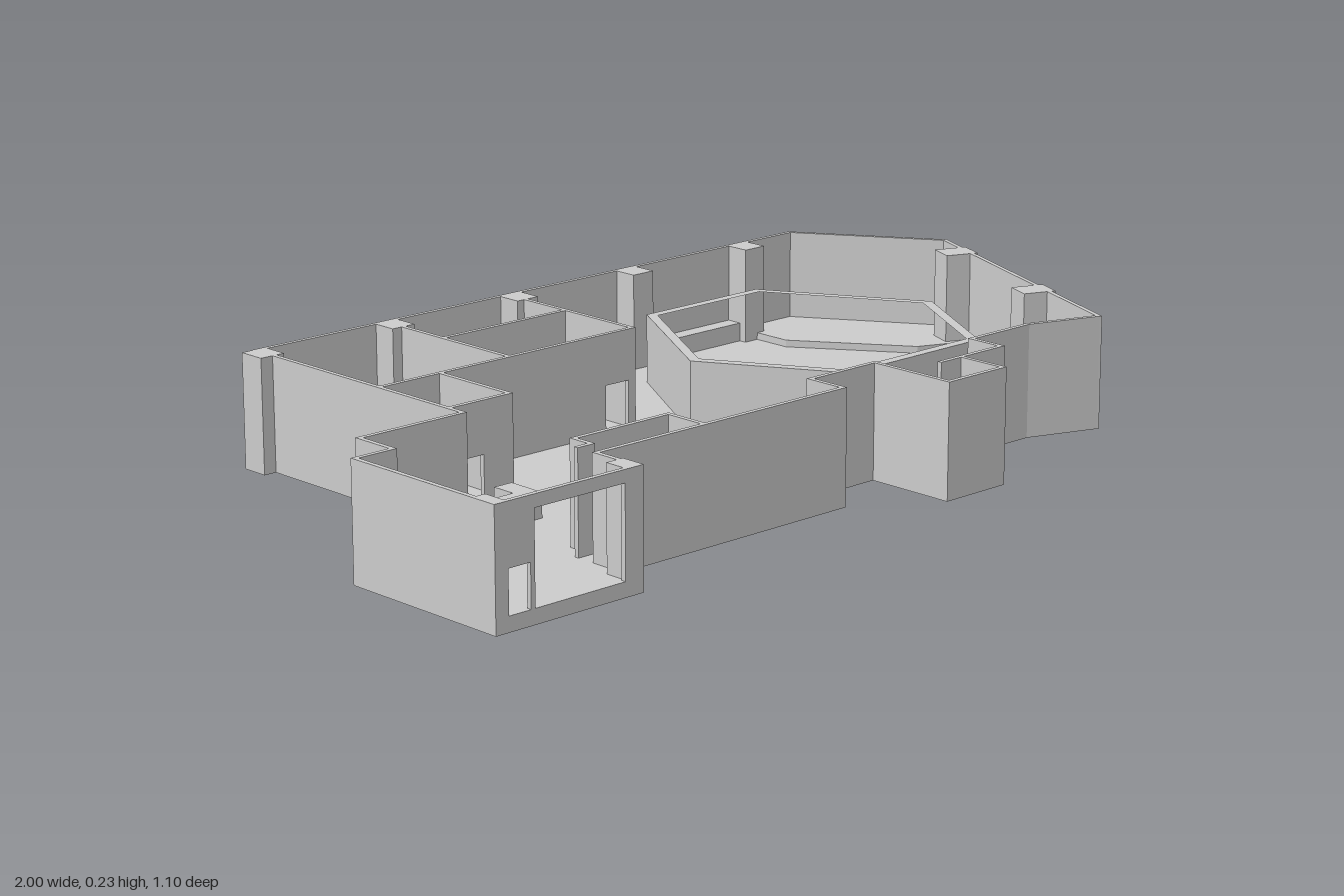
import * as THREE from 'three';

const H = 0.235;      // wall height
const FLOOR = 0.03;   // floor slab thickness
const T = 0.01;       // wall thickness

export function createModel() {
  const model = new THREE.Group();
  const material = new THREE.MeshStandardMaterial({ color: 0xcccccc, flatShading: true });

  const add = (name, geometry) => {
    const mesh = new THREE.Mesh(geometry, material);
    mesh.name = name;
    model.add(mesh);
    return mesh;
  };

  // Plan outline of [x, z] points raised from y0 to y1
  const toPoints = (pts) => pts.map(([x, z]) => new THREE.Vector2(x, -z));
  const slab = (name, pts, y0, y1, hole) => {
    const shape = new THREE.Shape(toPoints(pts));
    if (hole) shape.holes.push(new THREE.Path(toPoints(hole)));
    const g = new THREE.ExtrudeGeometry(shape, { depth: y1 - y0, bevelEnabled: false });
    g.rotateX(-Math.PI / 2);
    g.translate(0, y0, 0);
    return add(name, g);
  };

  // Upright wall between two plan points; openings are [start, end, bottom, top] along it
  const wall = (name, [x1, z1], [x2, z2], openings = []) => {
    const len = Math.hypot(x2 - x1, z2 - z1);
    const rect = (a, b, c, d) => [[a, c], [b, c], [b, d], [a, d]].map((p) => new THREE.Vector2(...p));
    const shape = new THREE.Shape(rect(-T / 2, len + T / 2, 0, H));
    openings.forEach((o) => shape.holes.push(new THREE.Path(rect(...o))));
    const g = new THREE.ExtrudeGeometry(shape, { depth: T, bevelEnabled: false });
    g.translate(0, 0, -T / 2);
    const mesh = add(name, g);
    mesh.position.set(x1, 0, z1);
    mesh.rotation.y = -Math.atan2(z2 - z1, x2 - x1);
  };

  const block = (name, x0, x1, z0, z1, y1, y0 = 0) => {
    const g = new THREE.BoxGeometry(x1 - x0, y1 - y0, z1 - z0);
    g.translate((x0 + x1) / 2, (y0 + y1) / 2, (z0 + z1) / 2);
    return add(name, g);
  };

  // Floor and outer walls
  const outline = [
    [-0.665, -0.545], [0.8, -0.545], [0.99, -0.257], [0.72, 0.41], [0.568, 0.355],
    [0.402, 0.355], [0.402, 0.433], [0.286, 0.433], [0.286, 0.541], [0.135, 0.541],
    [0.135, 0.347], [-0.04, 0.347], [-0.04, 0.433], [-0.665, 0.433], [-0.665, 0.541],
    [-0.995, 0.541], [-0.995, 0.167], [-0.908, 0.167], [-0.908, 0.072], [-0.665, 0.072],
  ];
  slab('floor', outline, 0, FLOOR);
  const frontOpenings = [[0.035, 0.245, FLOOR, 0.21], [0.255, 0.305, FLOOR, 0.115]];
  outline.forEach((p, i) => {
    wall('outerWall', p, outline[(i + 1) % outline.length], i === 14 ? frontOpenings : []);
  });

  // Inner partitions with doorways
  const DOOR = 0.13;
  wall('rearRoomsFrontWall', [-0.665, -0.17], [-0.02, -0.17],
    [[0.23, 0.31, FLOOR, DOOR], [0.57, 0.63, FLOOR, DOOR]]);
  wall('rearRoomsSideWall', [-0.02, -0.545], [-0.02, -0.17], [[0.1, 0.17, FLOOR, DOOR]]);
  wall('rearRoomsMiddleWall', [-0.343, -0.545], [-0.343, -0.17]);
  wall('rearRoomsCrossWall', [-0.343, -0.367], [-0.02, -0.367]);
  wall('smallRoomSideWall', [-0.517, -0.17], [-0.517, 0.03]);
  wall('smallRoomFrontWall', [-0.665, 0.03], [-0.517, 0.03], [[0.015, 0.08, FLOOR, DOOR]]);
  wall('closetBackWall', [-0.633, 0.338], [-0.4, 0.338]);
  wall('closetSideWall', [-0.4, 0.338], [-0.4, 0.433]);
  wall('closetStepSide', [-0.633, 0.338], [-0.633, 0.385]);
  wall('closetStepBack', [-0.665, 0.385], [-0.633, 0.385]);
  wall('entrancePartition', [0.23, 0.433], [0.286, 0.433]);

  // Square columns along the back wall and at the front room's corners
  for (const x of [-0.67, -0.343, -0.015, 0.308, 0.637]) {
    block('backColumn', x - 0.028, x + 0.028, -0.548, -0.488, H);
  }
  block('frontLeftColumn', -0.998, -0.97, 0.488, 0.545, H);
  block('frontRightColumn', -0.695, -0.655, 0.492, 0.545, H);

  // Columns set along the slanted side wall
  for (const [x, z] of [[0.928, -0.167], [0.793, 0.172]]) {
    const column = block('sideColumn', -0.036, 0.036, -0.03, 0.03, H);
    column.position.set(x, 0, z);
    column.rotation.y = -Math.atan2(0.27, 0.667);
  }

  // Hexagonal enclosure
  const hexagon = [[0.04, -0.065], [0.232, -0.397], [0.55, -0.397],
    [0.742, -0.065], [0.577, 0.217], [0.203, 0.217]];
  const inner = hexagon.map(([x, z]) => [0.391 + (x - 0.391) * 0.93, -0.09 + (z + 0.09) * 0.93]);
  slab('hexagonEnclosure', hexagon, FLOOR, 0.175, inner);

  // Counters, bench and the raised corner platform
  slab('cornerCounter', [[-0.908, 0.133], [-0.6, 0.133], [-0.6, 0.08], [-0.557, 0.08],
    [-0.557, 0.165], [-0.908, 0.165]], FLOOR, 0.08);
  block('frontCounter', -0.335, -0.103, 0.308, 0.355, 0.08, FLOOR);
  block('sideCounter', 0.257, 0.567, 0.32, 0.346, 0.08, FLOOR);
  block('backBench', 0.336, 0.609, -0.541, -0.505, 0.07, FLOOR);
  slab('cornerPlatform', [[0.645, -0.54], [0.797, -0.54], [0.982, -0.257], [0.93, -0.117],
    [0.81, -0.167], [0.645, -0.4]], FLOOR, 0.045);

  return model;
}
